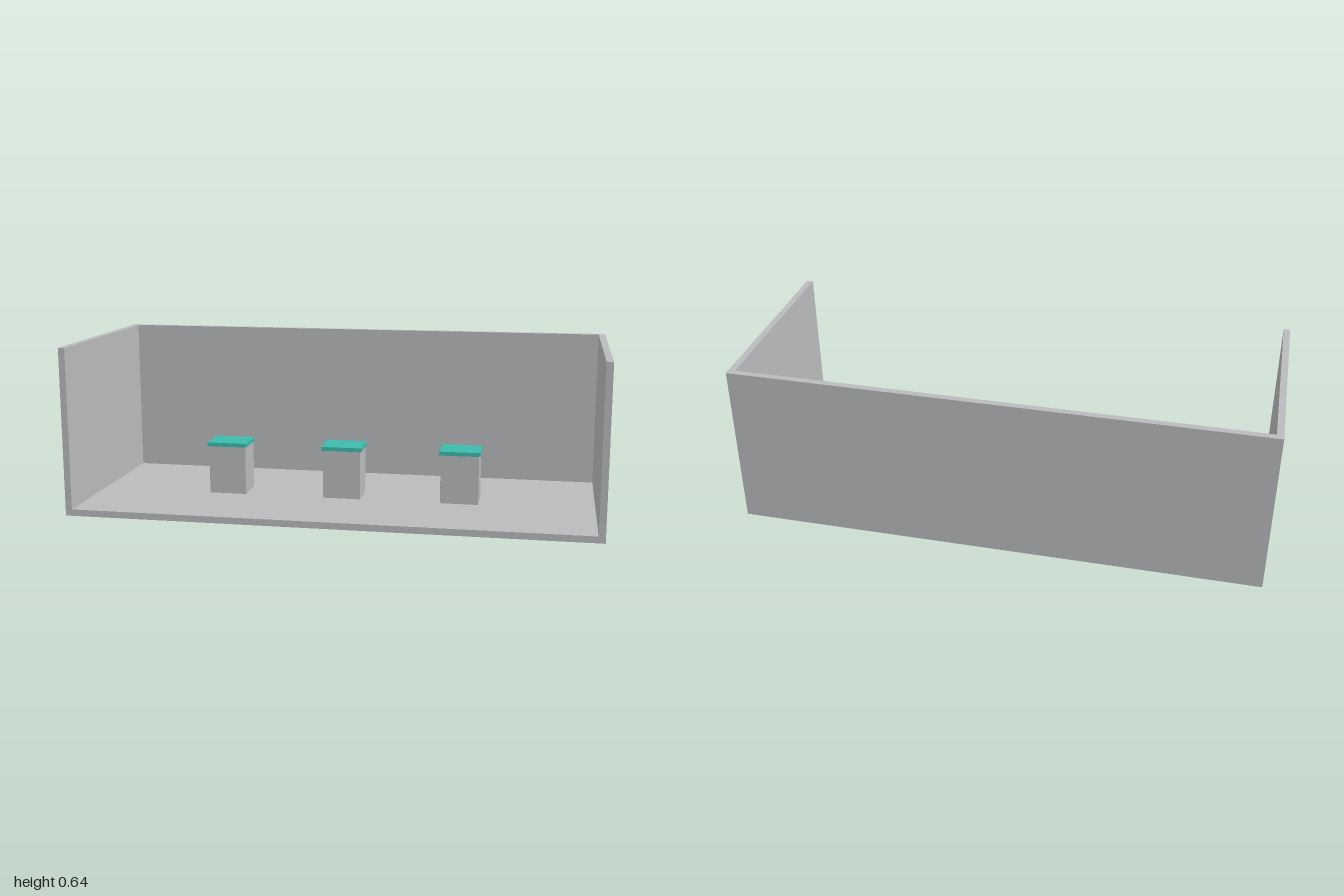
import * as THREE from 'three';

export function createModel() {
  const model = new THREE.Group();
  const grey = new THREE.MeshStandardMaterial({ color: 0xb8babb });
  grey.name = 'light grey';
  const teal = new THREE.MeshStandardMaterial({ color: 0x3cbaaa });
  teal.name = 'teal';

  const W = 2, H = 0.64, D = 0.8, T = 0.025;

  // Box placed by the centre of its underside
  const box = (parent, name, material, w, h, d, x, y, z) => {
    const mesh = new THREE.Mesh(new THREE.BoxGeometry(w, h, d), material);
    mesh.name = name;
    mesh.position.set(x, y + h / 2, z);
    parent.add(mesh);
  };

  // Side walls, floor and back wall: one U-shaped shell of butted panels
  for (const side of [-1, 1]) {
    box(model, side > 0 ? 'leftWall' : 'rightWall', grey, T, H, D, side * (W - T) / 2, 0, 0);
  }
  box(model, 'floor', grey, W - 2 * T, T, D, 0, 0, 0);
  box(model, 'backWall', grey, W - 2 * T, H - T, T, 0, T, -(D - T) / 2);

  // Three display plinths with slightly overhanging tops
  for (const x of [-0.46, 0, 0.46]) {
    const plinth = new THREE.Group();
    plinth.name = 'plinth';
    plinth.position.set(x, T, -0.003);
    box(plinth, 'plinthBody', grey, 0.147, 0.19, 0.126, 0, 0, 0);
    box(plinth, 'plinthTop', teal, 0.158, 0.015, 0.137, 0, 0.19, 0);
    model.add(plinth);
  }
  return model;
}
